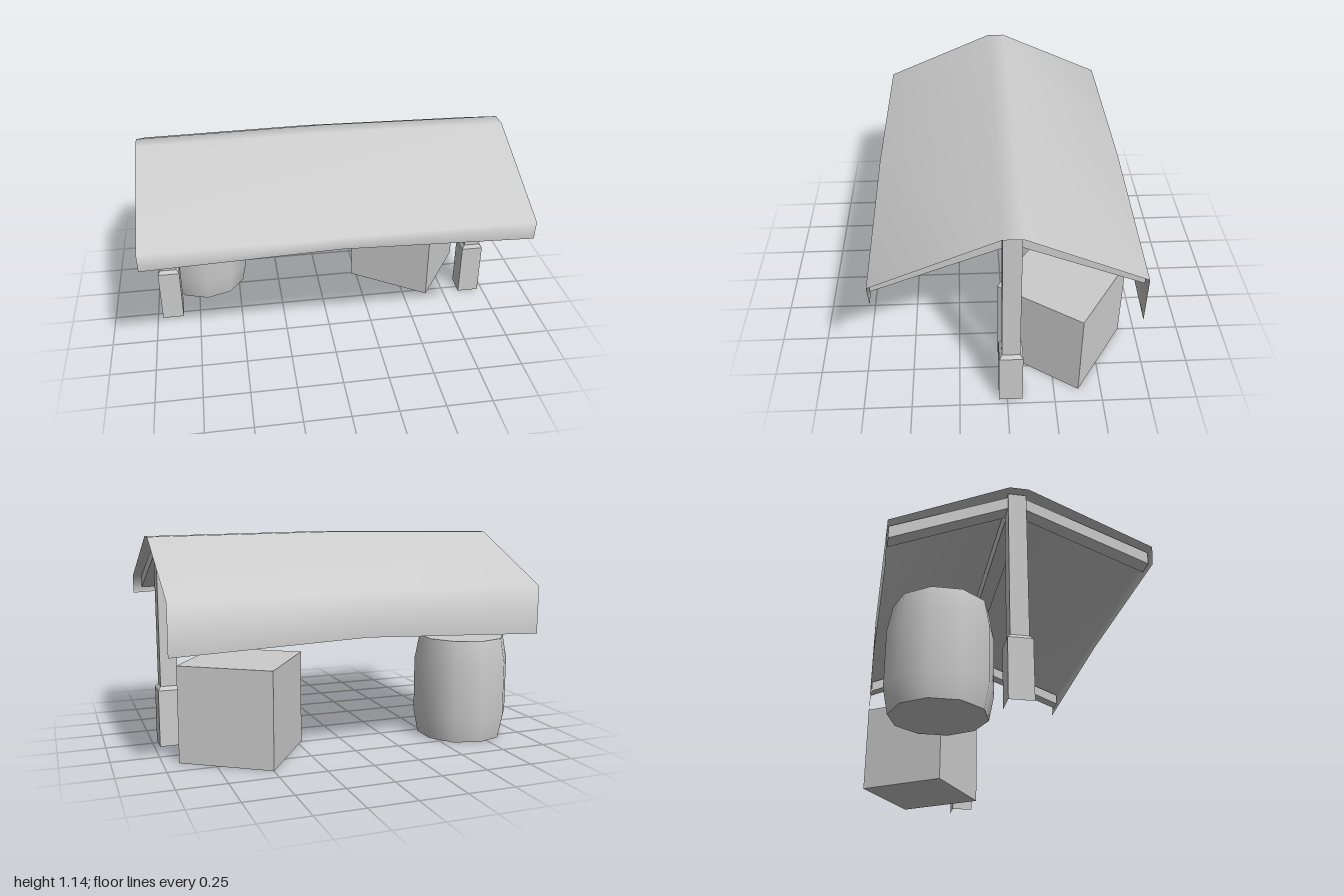
import * as THREE from 'three';

const grey = new THREE.MeshStandardMaterial({ color: 0xcccccc });
grey.name = 'light grey';
const greyCloth = new THREE.MeshStandardMaterial({ color: 0xcccccc, side: THREE.DoubleSide });
greyCloth.name = 'light grey cloth';

const POST_X = 0.91, POST_Z = -0.018;

function add(parent, name, geometry, material = grey) {
  const mesh = new THREE.Mesh(geometry, material);
  mesh.name = name;
  parent.add(mesh);
  return mesh;
}

// Open four-sided tube between two heights, square in plan
function squareTube(halfBottom, halfTop, y0, y1) {
  const g = new THREE.CylinderGeometry(halfTop * Math.SQRT2, halfBottom * Math.SQRT2, y1 - y0, 4, 1, true);
  g.rotateY(Math.PI / 4);
  g.translate(0, (y0 + y1) / 2, 0);
  const flat = g.toNonIndexed();
  flat.computeVertexNormals();
  return flat;
}

// Sloping rafter with upright ends; dir is +1 to the front, -1 to the back
function rafter(dir) {
  const inner = dir > 0 ? 0.03 : -0.065, outer = dir * 0.645;
  const shape = new THREE.Shape([[inner, 1.04], [outer, 0.795], [outer, 0.86], [inner, 1.105]]
    .map(([z, y]) => new THREE.Vector2(-z, y)));
  const g = new THREE.ExtrudeGeometry(shape, { depth: 0.08, bevelEnabled: false });
  g.translate(0, 0, -0.04);
  g.rotateY(Math.PI / 2);
  return g;
}

// Cloth over the ridge with a short front and a long back valance, bowed up at mid-length
function canopy() {
  // z, y at the ends, then the z and y shift at mid-length
  const profile = [
    [0.645, 0.76, 0.01, 0.04], [0.652, 0.862, 0.01, 0.01], [0.03, 1.13, 0.005, 0.013],
    [-0.065, 1.13, -0.005, 0.013], [-0.652, 0.862, -0.01, 0.01], [-0.65, 0.6, -0.01, 0.04],
  ];
  const pos = [], index = [], n = profile.length;
  [-1, 0, 1].forEach((x, i) => {
    const k = 1 - Math.abs(x);
    profile.forEach(([z, y, dz, dy], j) => {
      pos.push(x, y + dy * k, z + dz * k);
      if (i < 2 && j < n - 1) {
        const a = i * n + j, b = a + n;
        index.push(a, b, b + 1, a, b + 1, a + 1);
      }
    });
  });
  const g = new THREE.BufferGeometry();
  g.setAttribute('position', new THREE.Float32BufferAttribute(pos, 3));
  g.setIndex(index);
  g.computeVertexNormals();
  return g;
}

// Ten-sided bulging barrel, standing on its base
function barrel() {
  const group = new THREE.Group();
  group.name = 'barrel';
  const profile = [[0.238, 0], [0.263, 0.13], [0.263, 0.43], [0.238, 0.565]];
  add(group, 'barrelSide', new THREE.LatheGeometry(profile.map(([r, y]) => new THREE.Vector2(r, y)), 10));
  for (const [name, y, turn] of [['barrelLid', 0.565, -1], ['barrelBottom', 0, 1]]) {
    const cap = new THREE.CircleGeometry(0.238, 10, Math.PI / 2);
    cap.rotateX(turn * Math.PI / 2);
    cap.translate(0, y, 0);
    add(group, name, cap);
  }
  return group;
}

export function createModel() {
  const model = new THREE.Group();
  model.name = 'marketStall';

  add(model, 'canopy', canopy(), greyCloth);

  // End frames: footed post with a rafter to each side
  for (const side of [1, -1]) {
    const frame = new THREE.Group();
    frame.name = side > 0 ? 'leftFrame' : 'rightFrame';
    frame.position.x = side * POST_X;
    const post = new THREE.Group();
    post.name = 'post';
    post.position.z = POST_Z;
    add(post, 'postFoot', squareTube(0.061, 0.061, 0, 0.31));
    add(post, 'postFootBevel', squareTube(0.061, 0.046, 0.31, 0.33));
    add(post, 'postShaft', squareTube(0.046, 0.046, 0.33, 1.125));
    frame.add(post);
    add(frame, 'frontRafter', rafter(1));
    add(frame, 'backRafter', rafter(-1));
    model.add(frame);
  }

  // Ridge beam between the posts
  add(model, 'ridgeBeam', new THREE.BoxGeometry(2 * POST_X - 0.09, 0.08, 0.08)).position.set(0, 1.08, POST_Z);

  // Goods under the canopy
  const crate = add(model, 'crate', new THREE.BoxGeometry(0.505, 0.505, 0.505));
  crate.position.set(0.57, 0.2525, -0.31);
  crate.rotation.y = -0.588;
  const cask = barrel();
  cask.position.set(-0.7, 0, -0.355);
  model.add(cask);

  return model;
}
